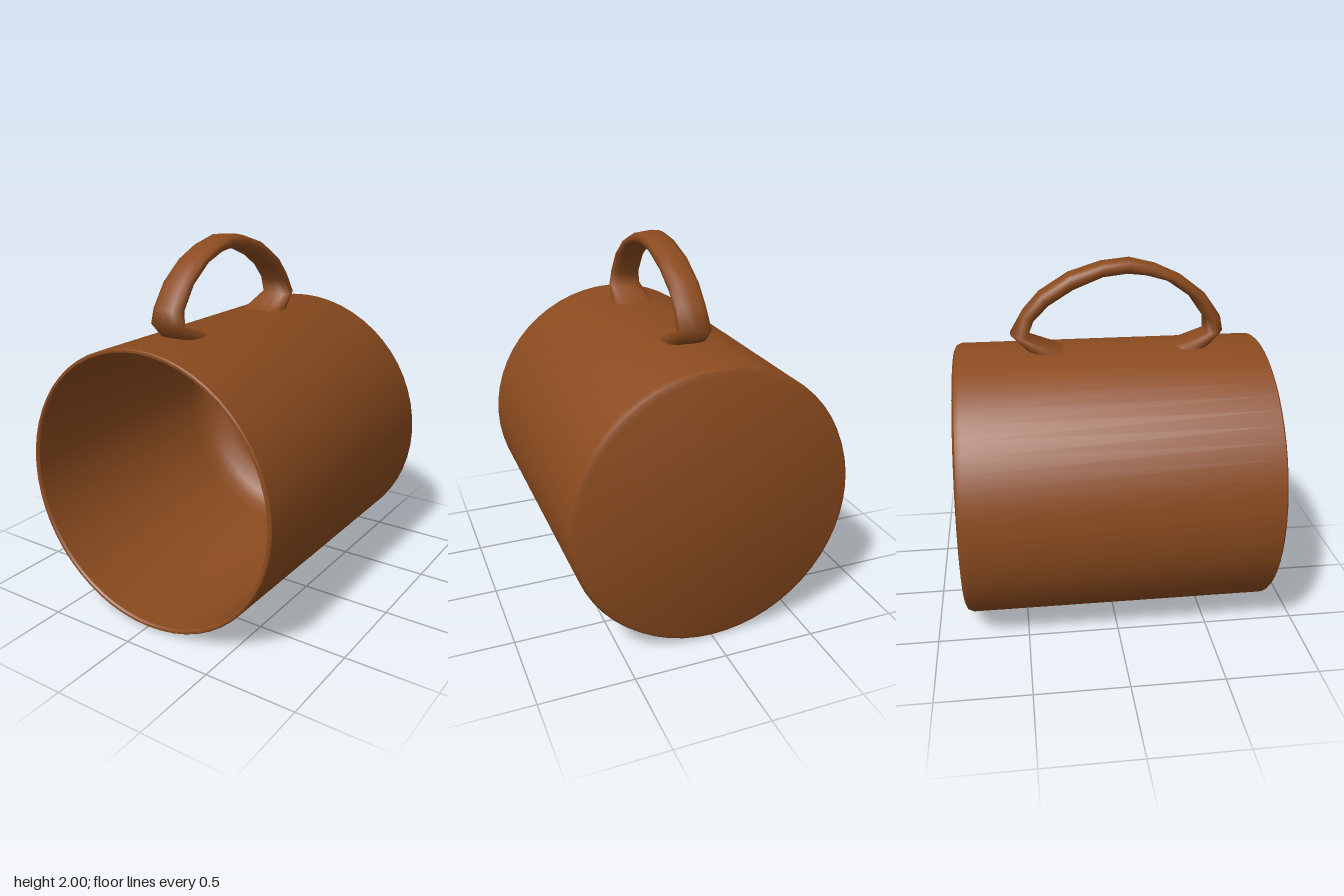
import * as THREE from 'three';
import { toCreasedNormals } from 'three/addons/utils/BufferGeometryUtils.js';

const brown = new THREE.MeshStandardMaterial({ color: 0x8a4a1e });

// Skin a loop of rounded cross-sections, each spanning an outer and an inner [z, y] point
function loft(sections, sides, centreX) {
  const pos = [], index = [];
  const round = (v) => Math.sign(v) * Math.abs(v) ** 0.8;
  sections.forEach(([zo, yo, zi, yi, halfWidth]) => {
    for (let j = 0; j < sides; j++) {
      const a = (j / sides) * Math.PI * 2;
      const t = (1 + round(Math.cos(a))) / 2;
      pos.push(centreX + halfWidth * round(Math.sin(a)), yi + (yo - yi) * t, zi + (zo - zi) * t);
    }
  });
  for (let i = 0; i < sections.length - 1; i++) {
    for (let j = 0; j < sides; j++) {
      const k = (j + 1) % sides;
      const a = i * sides + j, b = i * sides + k;
      index.push(a, b, a + sides, b, b + sides, a + sides);
    }
  }
  const g = new THREE.BufferGeometry();
  g.setAttribute('position', new THREE.Float32BufferAttribute(pos, 3));
  g.setIndex(index);
  g.computeVertexNormals();
  return g;
}

export function createModel() {
  const mug = new THREE.Group();
  mug.name = 'mug';

  // Cup lying on its side: closed base at the back, thin rim at the front, rounded inner floor
  const profile = [
    [0, -0.84], [0.725, -0.84], [0.75, -0.828], [0.763, -0.80],
    [0.763, 0.832], [0.757, 0.84], [0.745, 0.84], [0.737, 0.83],
    [0.72, -0.54], [0.70, -0.62], [0.66, -0.685], [0.60, -0.73], [0.53, -0.75], [0, -0.75],
  ].map(([r, h]) => new THREE.Vector2(r, h));
  const cupGeometry = new THREE.LatheGeometry(profile, 56);
  cupGeometry.rotateX(Math.PI / 2);
  const cup = new THREE.Mesh(toCreasedNormals(cupGeometry, 0.55), brown);
  cup.name = 'cup';
  cup.position.y = 0.765;
  mug.add(cup);

  // Arched handle with flared feet: outer z, y, inner z, y, half width
  const arch = [
    [0.52, 1.49, 0.31, 1.49, 0.122],
    [0.57, 1.535, 0.36, 1.53, 0.115],
    [0.63, 1.605, 0.53, 1.585, 0.095],
    [0.615, 1.68, 0.525, 1.67, 0.086],
    [0.53, 1.80, 0.44, 1.79, 0.085],
    [0.40, 1.90, 0.31, 1.88, 0.084],
    [0.26, 1.965, 0.20, 1.91, 0.082],
    [0.12, 2.00, 0.10, 1.92, 0.08],
    [-0.03, 1.985, -0.03, 1.905, 0.08],
    [-0.21, 1.93, -0.19, 1.84, 0.082],
    [-0.37, 1.83, -0.32, 1.76, 0.084],
    [-0.46, 1.73, -0.40, 1.68, 0.086],
    [-0.53, 1.61, -0.435, 1.59, 0.095],
    [-0.46, 1.535, -0.25, 1.53, 0.115],
    [-0.41, 1.49, -0.20, 1.49, 0.122],
  ];
  const handle = new THREE.Mesh(loft(arch, 12, -0.013), brown);
  handle.name = 'handle';
  mug.add(handle);

  return mug;
}
